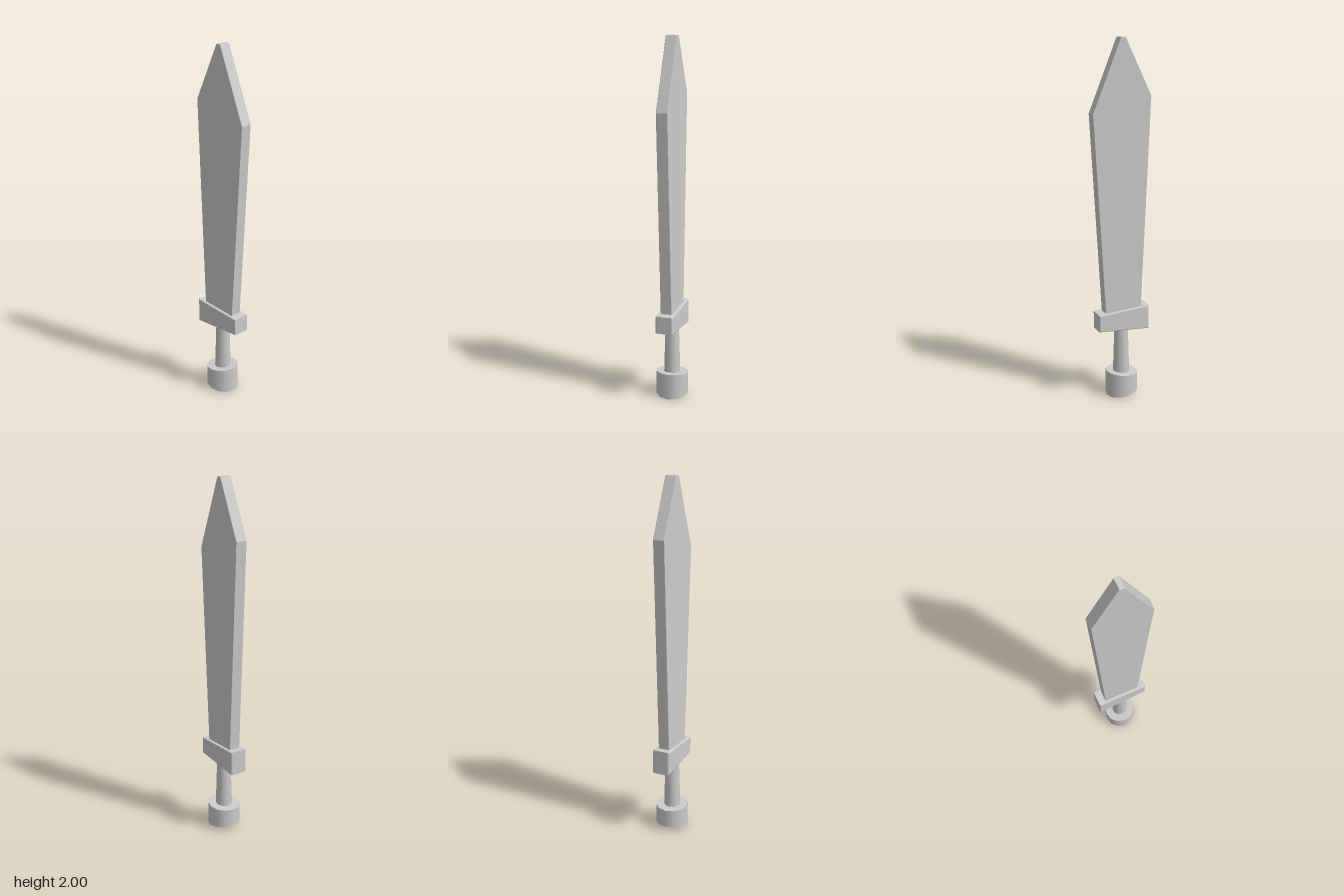
import * as THREE from 'three';

const material = new THREE.MeshStandardMaterial({ color: 0xcccccc });

function addPart(group, name, geometry) {
  const mesh = new THREE.Mesh(geometry, material);
  mesh.name = name;
  group.add(mesh);
  return mesh;
}

// Outline in x, y given thickness along z, with slightly softened edges
function slab(points, zBack, zFront, bevel) {
  const shape = new THREE.Shape(points.map(([x, y]) => new THREE.Vector2(x, y)));
  return new THREE.ExtrudeGeometry(shape, {
    depth: zFront - zBack - 2 * bevel,
    bevelThickness: bevel,
    bevelSize: bevel,
    bevelOffset: -bevel,
    bevelSegments: 2,
  }).translate(0, 0, zBack + bevel);
}

// Twelve-sided round part whose end caps slope along x
function slantedRound(cx, rTop, rBottom, top, bottom) {
  const geometry = new THREE.CylinderGeometry(rTop, rBottom, 1, 12);
  const p = geometry.attributes.position;
  for (let i = 0; i < p.count; i++) {
    const end = p.getY(i) > 0 ? top : bottom;
    p.setY(i, end.y + end.slope * p.getX(i));
  }
  geometry.computeVertexNormals();
  // Keep the sides smoothly joined across the seam
  const n = geometry.attributes.normal;
  for (let i = 0; i < 26; i++) {
    const a = ((i % 13) / 12) * Math.PI * 2;
    n.setXYZ(i, Math.sin(a), 0, Math.cos(a));
  }
  return geometry.translate(cx, 0, -0.001);
}

export function createModel() {
  const sword = new THREE.Group();
  sword.name = 'sword';

  // Lopsided blade, widening toward a blunt tip
  addPart(sword, 'blade', slab([
    [-0.113, 0.48], [0.096, 0.48], [0.165, 1.61],
    [0.006, 2.0], [-0.021, 2.0], [-0.168, 1.695],
  ], -0.033, 0.031, 0.003));

  // Crossguard, taller on one end
  addPart(sword, 'crossguard', slab([
    [-0.157, 0.387], [0.141, 0.407], [0.141, 0.504], [-0.157, 0.525],
  ], -0.05, 0.047, 0.006));

  // Tapered grip, running into the guard and pommel
  addPart(sword, 'grip', slantedRound(-0.007, 0.038, 0.047,
    { y: 0.42, slope: 0 }, { y: 0.12, slope: 0 }));

  // Pommel with slanted top and bottom
  addPart(sword, 'pommel', slantedRound(-0.009, 0.091, 0.091,
    { y: 0.139, slope: 0.09 }, { y: 0.0145, slope: -0.155 }));

  return sword;
}
